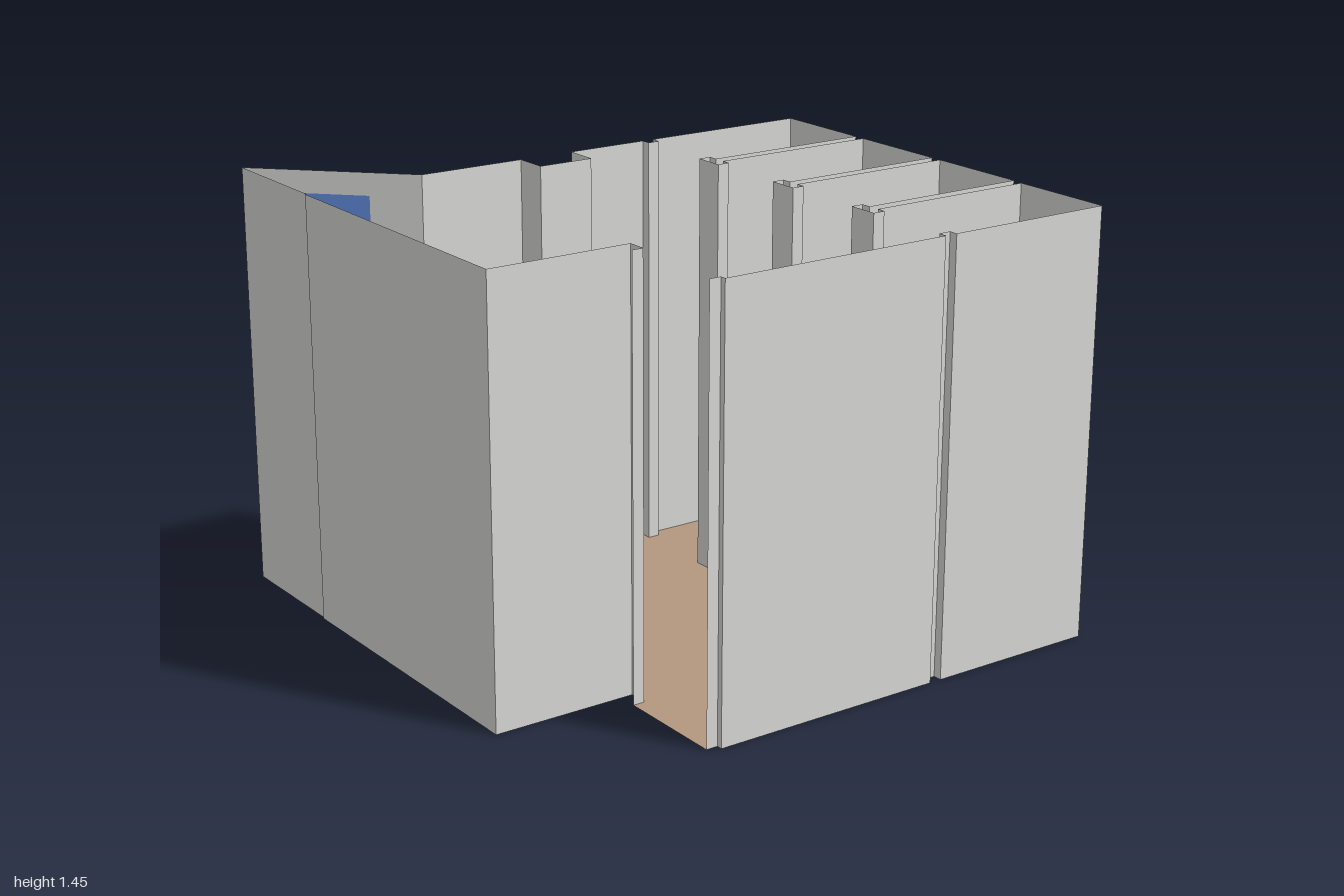
import * as THREE from 'three';
import { mergeGeometries } from 'three/addons/utils/BufferGeometryUtils.js';

const HEIGHT = 1.445;
const BACK = -0.975;

const material = (name, color) => {
  const m = new THREE.MeshStandardMaterial({ color, side: THREE.DoubleSide });
  m.name = name;
  return m;
};

const rectangle = (x0, y0, x1, y1) => [[x0, y0], [x1, y0], [x1, y1], [x0, y1]].map(p => new THREE.Vector2(...p));

// Upright sheet standing on the line from a to b, in plan coordinates [x, z]
function standOn(geometry, [ax, az], [bx, bz]) {
  return geometry.rotateY(Math.atan2(az - bz, bx - ax)).translate(ax, 0, az);
}

function wallSheet(a, b, opening) {
  const length = Math.hypot(b[0] - a[0], b[1] - a[1]);
  const shape = new THREE.Shape(rectangle(0, 0, length, HEIGHT));
  if (opening) shape.holes.push(new THREE.Path(rectangle(...opening).reverse()));
  return standOn(new THREE.ShapeGeometry(shape), a, b);
}

// T-shaped slot that separates two neighbouring bays
function baySlot(x, backRight) {
  return [
    [x - 0.02, BACK], [x - 0.02, -0.375], [x - 0.054, -0.375], [x - 0.054, -0.333],
    [x + 0.051, -0.333], [x + 0.051, -0.375], [x + 0.02, -0.375], [x + 0.02, backRight],
  ];
}

export function createModel() {
  const wallGrey = material('wall grey', 0xd8d8d6);
  const floorBrown = material('floor brown', 0xb4987f);
  const windowBlue = material('window blue', 0x6089d9);
  const model = new THREE.Group();
  model.name = 'roomShell';

  const add = (name, geometry, mat) => {
    const mesh = new THREE.Mesh(geometry, mat);
    mesh.name = name;
    model.add(mesh);
  };

  // Plan runs of the walls, from the doorway round to the doorway
  const leftRun = [
    [0.98, 0.52], [0.98, 0.48], [1, 0.48], [1, -0.333], [0.97, -0.333], [0.97, -0.375], [1, -0.375], [1, -0.97],
  ];
  const backRun = [
    [-0.57, BACK],
    ...baySlot(-0.185, BACK),
    ...baySlot(0.215, BACK),
    ...baySlot(0.615, -0.97),
  ].reverse();
  const rightRun = [
    [-0.57, -0.375], [-0.535, -0.375], [-0.535, -0.333], [-0.57, -0.333],
    [-0.57, -0.04], [-0.45, -0.04], [-0.45, 0.16], [-0.57, 0.16], [-0.57, 0.54],
  ];
  const frontRun = [
    [-1, 0.97], [-0.55, 0.97], [-0.55, 0.975], [0.535, 0.975], [0.535, 0.48], [0.6, 0.48], [0.6, 0.52],
  ];

  // Floor fills the whole plan
  const plan = [...leftRun, ...backRun, ...rightRun, ...frontRun];
  const floor = new THREE.ShapeGeometry(new THREE.Shape(plan.map(([x, z]) => new THREE.Vector2(x, -z))));
  add('floor', floor.rotateX(-Math.PI / 2), floorBrown);

  // Walls: each run continues to the first point of the next
  const runs = {
    leftWall: [...leftRun, backRun[0]],
    bayWalls: [...backRun, rightRun[0]],
    rightWall: rightRun,
    frontWall: frontRun,
  };
  for (const [name, points] of Object.entries(runs)) {
    const sheets = points.slice(1).map((p, i) => wallSheet(points[i], p));
    add(name, mergeGeometries(sheets), wallGrey);
  }

  // Slanted wall with its window pane
  const slantStart = rightRun.at(-1);
  const slantEnd = frontRun[0];
  const pane = [0.178, 0.107, 0.578, 1.367];
  add('slantedWall', wallSheet(slantStart, slantEnd, pane), wallGrey);
  const glass = new THREE.ShapeGeometry(new THREE.Shape(rectangle(...pane)));
  add('window', standOn(glass, slantStart, slantEnd), windowBlue);

  return model;
}
